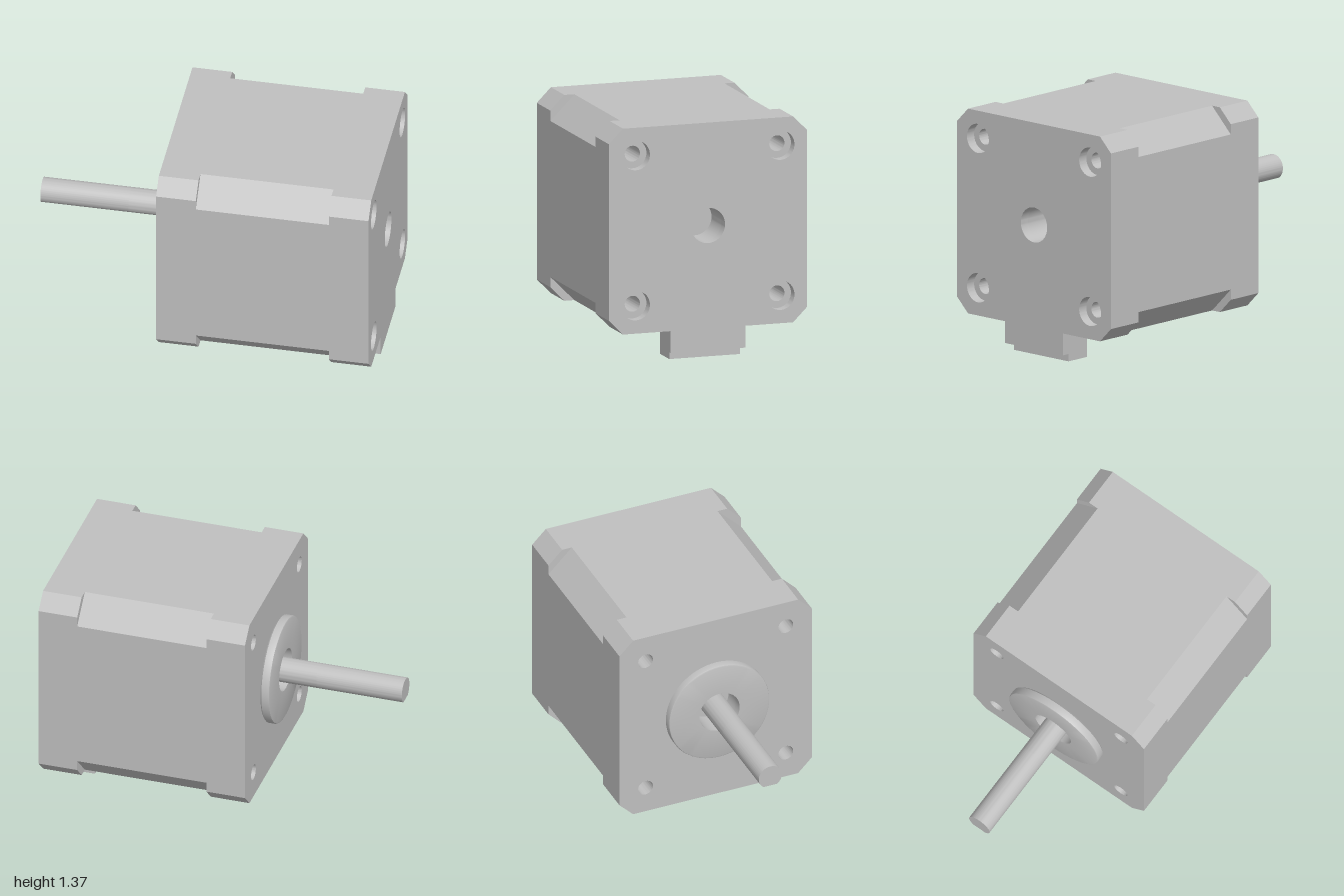
import * as THREE from 'three';
import { toCreasedNormals } from 'three/addons/utils/BufferGeometryUtils.js';

const CY = 0.777;   // height of the motor axis
const HALF = 0.598; // half width of the square body
const BOLT = 0.436; // bolt hole offset from the axis

export function createModel() {
  const model = new THREE.Group();
  const metal = new THREE.MeshStandardMaterial({ color: 0xbfbfbf });
  metal.name = 'greyMetal';

  function add(name, geometry, x = 0, y = 0, z = 0) {
    const mesh = new THREE.Mesh(geometry, metal);
    mesh.name = name;
    mesh.position.set(x, y, z);
    model.add(mesh);
    return mesh;
  }

  // Extrudes a cross-section along x, centred on the motor axis
  function extrudeX(name, shape, x0, x1) {
    const g = new THREE.ExtrudeGeometry(shape, { depth: x1 - x0, bevelEnabled: false, curveSegments: 32 });
    g.rotateY(Math.PI / 2);
    add(name, toCreasedNormals(g, 0.5), x0, CY, 0);
  }

  function hole(shape, x, y, r) {
    const path = new THREE.Path();
    path.absarc(x, y, r, 0, Math.PI * 2, true);
    shape.holes.push(path);
  }

  // Square with cut corners, four bolt holes and an optional centre bore
  function section(cut, boltRadius, bore) {
    const a = HALF, b = HALF - cut;
    const shape = new THREE.Shape(
      [[a, -b], [a, b], [b, a], [-b, a], [-a, b], [-a, -b], [-b, -a], [b, -a]]
        .map(([x, y]) => new THREE.Vector2(x, y)));
    for (const x of [-BOLT, BOLT]) for (const y of [-BOLT, BOLT]) hole(shape, x, y, boltRadius);
    if (bore) hole(shape, 0, 0, bore);
    return shape;
  }

  // Body layers from the shaft end to the rear
  extrudeX('frontCap', section(0.085, 0.046, 0.125), -0.23, -0.13);
  extrudeX('frontCapInner', section(0.085, 0.046, 0), -0.13, 0);
  extrudeX('stator', section(0.145, 0.046, 0), 0, 0.77);
  extrudeX('rearCapInner', section(0.085, 0.046, 0.102), 0.77, 0.94);
  extrudeX('rearCap', section(0.085, 0.085, 0.102), 0.94, 1);

  // Pilot boss: a ring with softened outer edges
  const ring = [[0.125, 0], [0.305, 0], [0.313, 0.008], [0.313, 0.045], [0.31, 0.052],
    [0.303, 0.055], [0.125, 0.055], [0.125, 0]].map(([r, h]) => new THREE.Vector2(r, h));
  const boss = add('pilotBoss', toCreasedNormals(new THREE.LatheGeometry(ring, 64), 0.5), -0.23, CY, 0);
  boss.rotation.z = Math.PI / 2;

  // Shaft: round root and a tip with a flat underneath
  const R = 0.072;
  const round = new THREE.Shape();
  round.absarc(0, 0, R, 0, Math.PI * 2, false);
  extrudeX('shaftRoot', round, -0.49, -0.1);
  const flat = Math.asin(0.059 / R);
  const dShape = new THREE.Shape();
  dShape.absarc(0, 0, R, -flat, Math.PI + flat, false);
  dShape.closePath();
  extrudeX('shaftTip', dShape, -1, -0.49);

  // Connector under the rear edge, open downwards
  function box(name, x0, x1, y0, y1, z0, z1) {
    add(name, new THREE.BoxGeometry(x1 - x0, y1 - y0, z1 - z0),
      (x0 + x1) / 2, (y0 + y1) / 2, (z0 + z1) / 2);
  }
  box('connectorBackPlate', 0.94, 1, 0.052, 0.19, -0.227, 0.227);
  box('connectorRearWall', 0.915, 0.94, 0.004, 0.19, -0.213, 0.213);
  for (const s of [-1, 1]) {
    box('connectorSideWall', 0.785, 0.94, 0.004, 0.19, Math.min(s * 0.213, s * 0.188), Math.max(s * 0.213, s * 0.188));
    box('connectorFrontWall', 0.785, 0.805, 0.004, 0.19, s < 0 ? -0.19 : 0.13, s < 0 ? -0.13 : 0.19);
  }
  box('connectorFrontWallMiddle', 0.785, 0.805, 0.004, 0.19, -0.085, 0.085);
  for (let i = 0; i < 6; i++) {
    const z = (i - 2.5) * 0.058;
    box('connectorPin', 0.85, 0.87, 0.03, 0.19, z - 0.01, z + 0.01);
  }

  return model;
}
